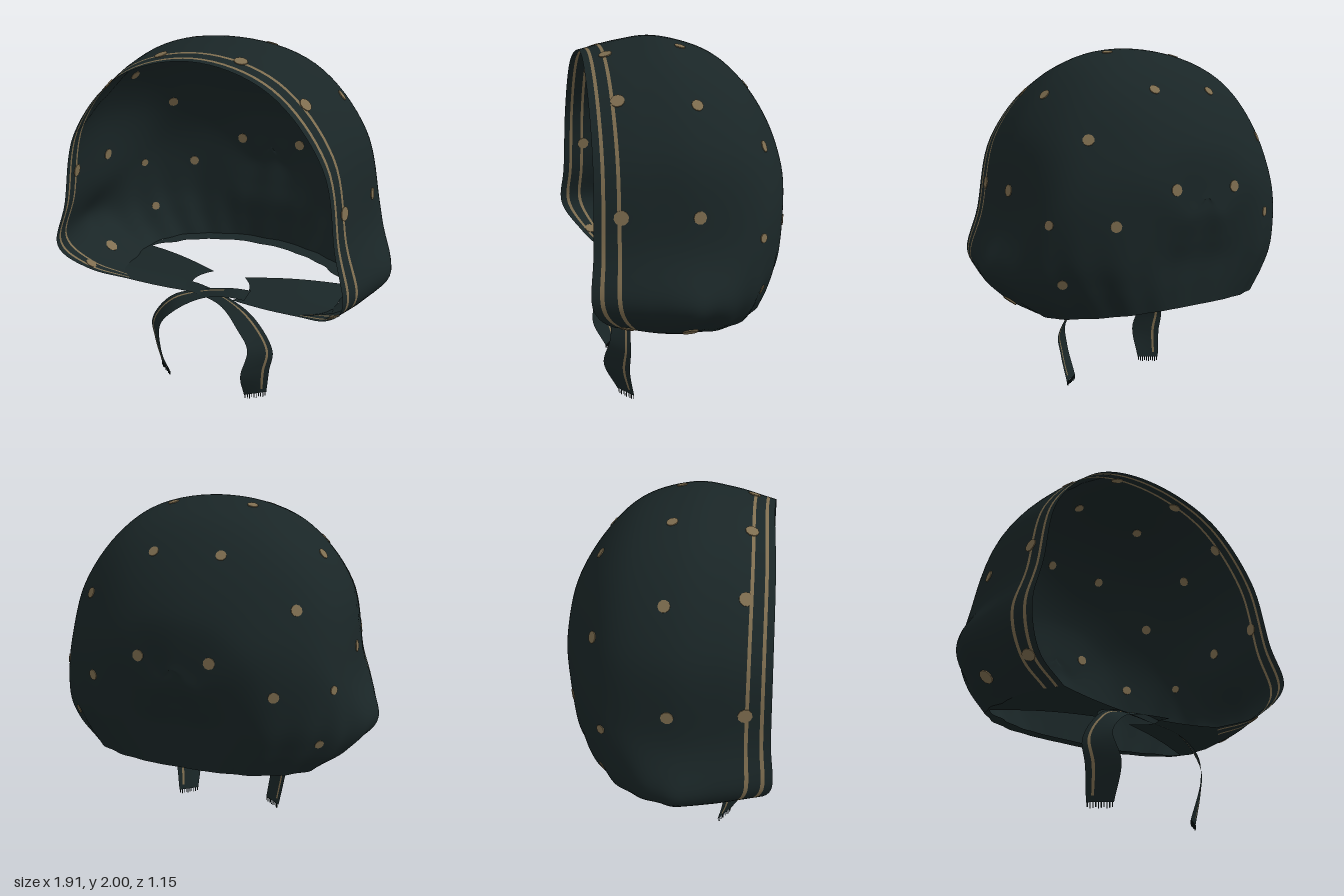
import * as THREE from 'three';
import { mergeVertices } from 'three/addons/utils/BufferGeometryUtils.js';

const V = (x, y, z) => new THREE.Vector3(x, y, z);
const fabric = new THREE.MeshStandardMaterial({ color: 0x1a2627, side: THREE.DoubleSide });
fabric.name = 'dark teal fabric';
const gold = new THREE.MeshStandardMaterial({ color: 0x7f6e50, side: THREE.DoubleSide });
gold.name = 'dull gold print';

// Half arch: x,y pairs from crown to hem, with z at every second point
function arch(xy, z) {
  return Array.from({ length: 7 }, (_, j) =>
    V(xy[2 * j], xy[2 * j + 1], j % 2 ? (z[(j - 1) / 2] + z[(j + 1) / 2]) / 2 : z[j / 2]));
}

// Arches from the face opening to the back of the head
const arches = [
  arch([0, 1.93, 0.41, 1.82, 0.69, 1.5, 0.775, 1.1, 0.835, 0.84, 0.72, 0.67, 0.51, 0.59], [0.5, 0.53, 0.57, 0.34]),
  arch([0, 1.98, 0.43, 1.875, 0.725, 1.54, 0.82, 1.1, 0.905, 0.84, 0.8, 0.665, 0.64, 0.57], [0.28, 0.29, 0.3, 0.2]),
  arch([0, 1.995, 0.44, 1.89, 0.75, 1.53, 0.84, 1.08, 0.95, 0.83, 0.82, 0.665, 0.67, 0.565], [0.07, 0.05, 0.06, 0.04]),
  arch([0, 1.91, 0.41, 1.815, 0.69, 1.51, 0.8, 1.12, 0.84, 0.85, 0.78, 0.69, 0.67, 0.58], [-0.2, -0.2, -0.18, -0.16]),
  arch([0, 1.72, 0.33, 1.66, 0.56, 1.45, 0.68, 1.2, 0.69, 0.92, 0.64, 0.75, 0.55, 0.6], [-0.4, -0.37, -0.36, -0.33]),
  arch([0, 1.47, 0.2, 1.43, 0.36, 1.3, 0.44, 1.12, 0.45, 0.9, 0.42, 0.75, 0.36, 0.61], [-0.54, -0.525, -0.485, -0.43]),
  arch([0, 1.22, 0.07, 1.19, 0.14, 1.11, 0.17, 0.99, 0.17, 0.87, 0.16, 0.74, 0.14, 0.62], [-0.57, -0.565, -0.505, -0.48]),
];
const SPANS = arches.length;

// Control point, extended past the ends and mirrored across the middle
function control(i, j) {
  if (j < 0) return control(i, -j).multiply(V(-1, 1, 1));
  if (j > 6) return control(i, 6).multiplyScalar(2).sub(control(i, 5));
  if (i < 0) return control(0, j).multiplyScalar(2).sub(control(1, j));
  if (i > SPANS) return control(SPANS - 1, j).multiply(V(-1, 1, 1));
  if (i === SPANS) return control(SPANS - 1, j).multiply(V(0, 1, 1));
  return arches[i][j].clone();
}

const weights = t => [
  (-t + 2 * t * t - t ** 3) / 2,
  (2 - 5 * t * t + 3 * t ** 3) / 2,
  (t + 4 * t * t - 3 * t ** 3) / 2,
  (t ** 3 - t * t) / 2,
];

// Smooth hood surface: u runs front to back, v from crown to hem
function hoodPoint(u, v) {
  const side = v < 0 ? -1 : 1;
  v = Math.abs(v);
  const i = Math.min(Math.floor(u), SPANS - 1), j = Math.min(Math.floor(v), 5);
  const a = weights(u - i), b = weights(v - j), p = V(0, 0, 0);
  for (let m = 0; m < 4; m++) for (let n = 0; n < 4; n++) {
    p.addScaledVector(control(i + m - 1, j + n - 1), a[m] * b[n]);
  }
  // Soft gathers near the hem
  const gather = Math.sin(u * 8) * 0.008 * THREE.MathUtils.smoothstep(v, 3, 5)
    * THREE.MathUtils.smoothstep(u, 1.4, 2.2) * (1 - THREE.MathUtils.smoothstep(u, 5.2, 6.2));
  p.x *= side * (1 + gather);
  p.z *= 1 + gather;
  return p;
}

// Grid surface whose cells are fabric or gold
function gridGeometry(rows, cols, point, isGold = () => false) {
  const pos = [], plain = [], print = [];
  for (let i = 0; i <= rows; i++) for (let j = 0; j <= cols; j++) pos.push(...point(i / rows, j / cols).toArray());
  for (let i = 0; i < rows; i++) for (let j = 0; j < cols; j++) {
    const a = i * (cols + 1) + j, c = a + cols + 1;
    (isGold(i, j) ? print : plain).push(a, a + 1, c, a + 1, c + 1, c);
  }
  let geo = new THREE.BufferGeometry();
  geo.setAttribute('position', new THREE.Float32BufferAttribute(pos, 3));
  geo.setIndex([...plain, ...print]);
  geo.addGroup(0, plain.length, 0);
  geo.addGroup(plain.length, print.length, 1);
  geo = mergeVertices(geo, 1e-5);
  geo.computeVertexNormals();
  return geo;
}

function addMesh(parent, name, geo, mat) {
  const mesh = new THREE.Mesh(geo, mat);
  mesh.name = name;
  parent.add(mesh);
  return mesh;
}

// Underside of one half: a wide chin flap with a hollowed inner end, and a narrow hem facing behind it
function makeUnderside(side) {
  const group = new THREE.Group();
  group.name = side > 0 ? 'leftUnderside' : 'rightUnderside';
  const end = new THREE.QuadraticBezierCurve3(
    V(0.12 * side, 0.568, 0.285), V(0.24 * side, 0.59, 0.18), V(0.1 * side, 0.602, 0.06));
  const flapPoint = (s, t) => {
    const p = hoodPoint(s * 2.95, 6 * side).lerp(end.getPoint(s), t);
    p.y += 0.02 * (s - 0.3) * Math.sin(Math.PI * t);
    return p;
  };
  const facingPoint = (s, t) => {
    const width = t * THREE.MathUtils.smoothstep(s, 0, 0.3);
    return hoodPoint(2.6 + s * (SPANS - 2.6), 6 * side).multiply(V(1 - 0.1 * width, 1 - 0.01 * width, 1 - 0.18 * width));
  };
  addMesh(group, 'chinFlap', gridGeometry(36, 14, flapPoint), [fabric, gold]);
  addMesh(group, 'hemFacing', gridGeometry(44, 3, facingPoint), [fabric, gold]);
  return group;
}

// Tie that leaves one flap, crosses the middle and hangs on the other side
function makeTie(side, lift) {
  const group = new THREE.Group();
  group.name = side > 0 ? 'leftHangingTie' : 'rightHangingTie';
  const place = ([x, y, z]) => V(x * side, y + lift, z);
  const inner = new THREE.CatmullRomCurve3([
    [-0.2, 0.568, 0.295], [-0.1, 0.563, 0.29], [0.06, 0.53, 0.31],
    [0.2, 0.455, 0.39], [0.275, 0.36, 0.42], [0.25, 0.21, 0.455], [0.24, 0.03, 0.38]].map(place));
  const outer = new THREE.CatmullRomCurve3([
    [-0.2, 0.585, 0.2], [-0.1, 0.588, 0.22], [0.08, 0.56, 0.25],
    [0.26, 0.5, 0.3], [0.385, 0.33, 0.32], [0.37, 0.2, 0.325], [0.345, 0.03, 0.3]].map(place));
  const at = (s, w) => inner.getPoint(s).lerp(outer.getPoint(s), w);
  addMesh(group, 'tieRibbon', gridGeometry(70, 11, at, (i, j) => i > 14 && i < 68 && j === 8), [fabric, gold]);
  // Frayed threads
  for (let k = 0; k < 10; k++) {
    const length = 0.022 + 0.008 * ((k * 7) % 3) / 2;
    const thread = addMesh(group, 'fringeThread', new THREE.BoxGeometry(0.004, length, 0.004), fabric);
    thread.position.copy(at(1, (k + 0.5) / 10)).y -= length / 2;
  }
  return group;
}

export function createModel() {
  const model = new THREE.Group();
  model.name = 'bonnet';

  // Hood with two gold stripes around the face opening
  const hood = gridGeometry(SPANS * 14, 96, (s, t) => hoodPoint(s * SPANS, (t * 2 - 1) * 6),
    i => i === 2 || i === 6);
  addMesh(model, 'hood', hood, [fabric, gold]);

  // Printed dots (x, y, z, radius), laid on the nearest hood point, visible inside and out
  const dots = [
    [0.2, 1.74, -0.36, 0.028], [0.2, 1.26, -0.56, 0.031], [0.58, 1.49, -0.35, 0.03], [0.5, 1.09, -0.46, 0.029],
    [0.21, 1.97, 0.01, 0.029], [0.6, 1.73, 0.01, 0.03], [0.84, 1.22, 0.05, 0.032], [0.2, 1.93, 0.39, 0.034],
    [0.56, 1.73, 0.39, 0.034], [0.79, 1.23, 0.42, 0.036], [0.76, 0.67, 0.4, 0.034],
    [0.77, 1.08, -0.29, 0.024], [0.71, 0.78, -0.32, 0.026], [0.8, 0.64, 0.09, 0.04],
  ];
  const pos = hood.attributes.position, p = V(0, 0, 0), n = V(0, 0, 0);
  for (const side of [1, -1]) for (const [x, y, z, radius] of dots) {
    const target = V(x * side, y, z);
    let best = 0, bestDistance = Infinity;
    for (let k = 0; k < pos.count; k++) {
      const d = p.fromBufferAttribute(pos, k).distanceToSquared(target);
      if (d < bestDistance) { bestDistance = d; best = k; }
    }
    const dot = addMesh(model, 'printedDot', new THREE.CylinderGeometry(radius, radius, 0.008, 10), gold);
    dot.position.fromBufferAttribute(pos, best);
    dot.quaternion.setFromUnitVectors(V(0, 1, 0), n.fromBufferAttribute(hood.attributes.normal, best));
  }

  model.add(makeUnderside(1), makeUnderside(-1), makeTie(1, 0), makeTie(-1, 0.02));
  return model;
}
